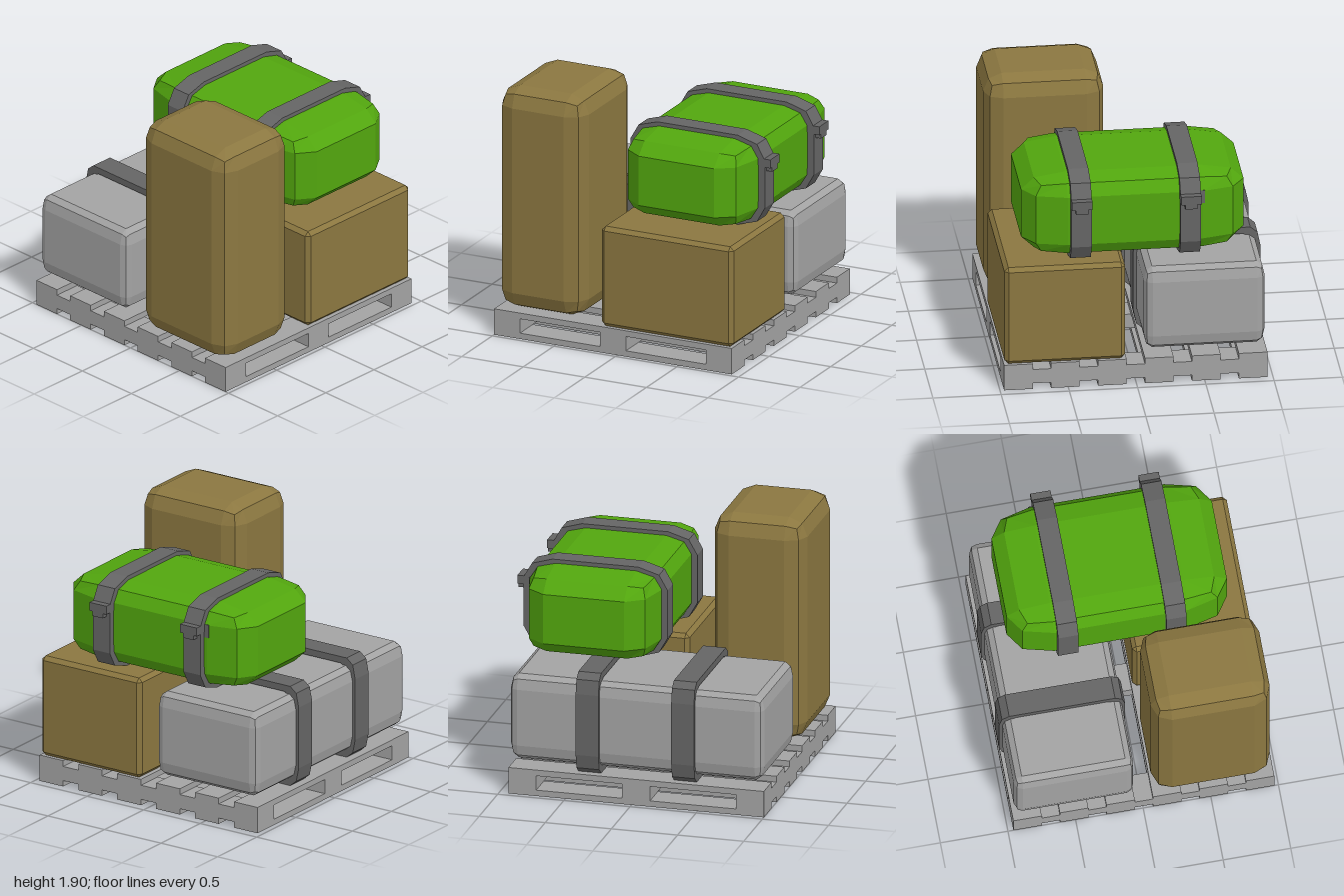
import * as THREE from 'three';
import { RoundedBoxGeometry } from 'three/addons/geometries/RoundedBoxGeometry.js';
import { ConvexGeometry } from 'three/addons/geometries/ConvexGeometry.js';

function material(name, color) {
  const m = new THREE.MeshStandardMaterial({ color, flatShading: true });
  m.name = name;
  return m;
}

// Faceted box between two corners; radii give the bevel size on each axis
function softBox(min, max, radii) {
  const size = max.map((v, i) => v - min[i]);
  const g = new RoundedBoxGeometry(size[0] / radii[0], size[1] / radii[1], size[2] / radii[2], 1, 1);
  g.scale(...radii);
  g.translate(...min.map((v, i) => (v + max[i]) / 2));
  return g;
}

// Box with one flat 45 degree chamfer on every edge
function chamferBox(min, max, c) {
  const points = [];
  for (let axis = 0; axis < 3; axis++) {
    for (let k = 0; k < 8; k++) {
      const p = [0, 1, 2].map((i) => {
        const inset = i === axis ? 0 : c;
        return (k >> i) & 1 ? max[i] - inset : min[i] + inset;
      });
      points.push(new THREE.Vector3(...p));
    }
  }
  return new ConvexGeometry(points);
}

function box(min, max) {
  const g = new THREE.BoxGeometry(...max.map((v, i) => v - min[i]));
  return g.translate(...min.map((v, i) => (v + max[i]) / 2));
}

// Rectangle outline whose corners are cut in two steps
function outline(x0, y0, x1, y1, rx, ry) {
  const a = 1 - Math.SQRT1_2;
  const corner = [[0, 1], [a, a], [1, 0]];
  const points = [];
  for (const [cx, cy, sx, sy] of [[x0, y0, 1, 1], [x1, y0, -1, 1], [x1, y1, -1, -1], [x0, y1, 1, -1]]) {
    const steps = sx * sy > 0 ? corner : [...corner].reverse();
    for (const [u, v] of steps) points.push(new THREE.Vector2(cx + sx * u * rx, cy + sy * v * ry));
  }
  return points;
}

// Closed band running around a box
function strapGeometry(x0, y0, x1, y1, rx, ry, thick, width) {
  const shape = new THREE.Shape(outline(x0, y0, x1, y1, rx, ry));
  shape.holes.push(new THREE.Path(outline(x0 + thick, y0 + thick, x1 - thick, y1 - thick, rx, ry)));
  return new THREE.ExtrudeGeometry(shape, { depth: width, bevelEnabled: false });
}

export function createModel() {
  const model = new THREE.Group();
  model.name = 'loadedPallet';
  const grey = material('light grey', 0xa3a3a3);
  const dark = material('dark grey', 0x656565);
  const tan = material('tan', 0x8b7740);
  const green = material('green', 0x52a60e);

  const add = (parent, name, geometry, mat) => {
    const mesh = new THREE.Mesh(geometry, mat);
    mesh.name = name;
    parent.add(mesh);
  };

  // Pallet: six top and bottom boards over three stringers
  const pallet = new THREE.Group();
  pallet.name = 'pallet';
  model.add(pallet);
  for (let i = 0; i < 6; i++) {
    const z = -0.96 + i * 0.344;
    add(pallet, 'bottomBoard', box([-1, 0, z], [0.93, 0.045, z + 0.21]), grey);
    add(pallet, 'topBoard', box([-1, 0.155, z], [0.93, 0.2, z + 0.21]), grey);
  }
  for (const x of [-1, -0.14, 0.72]) {
    add(pallet, 'stringer', box([x, 0.045, -0.96], [x + 0.21, 0.155, 0.97]), grey);
  }

  // Tan cargo
  add(model, 'tallCrate', softBox([-1, 0.2, 0.08], [-0.3, 1.905, 0.96], [0.14, 0.14, 0.135]), tan);
  add(model, 'squareCrate', chamferBox([-0.14, 0.2, 0.08], [0.93, 0.97, 0.965], 0.03), tan);

  // Long grey case with two bands
  const longCase = new THREE.Group();
  longCase.name = 'longCase';
  model.add(longCase);
  add(longCase, 'caseBody', softBox([-0.985, 0.26, -0.945], [0.93, 0.91, -0.06], [0.06, 0.11, 0.06]), grey);
  for (const x of [-0.475, 0.247]) {
    const g = strapGeometry(0.037, 0.2, 0.97, 0.97, 0.075, 0.15, 0.05, 0.172);
    g.rotateY(Math.PI / 2).translate(x, 0, 0);
    add(longCase, 'caseStrap', g, dark);
  }

  // Green bundle with two buckled bands
  const bundle = new THREE.Group();
  bundle.name = 'greenBundle';
  model.add(bundle);
  add(bundle, 'bundleBody', softBox([-0.09, 1, -0.81], [0.9, 1.63, 0.82], [0.19, 0.125, 0.32]), green);
  for (const z of [-0.47, 0.33]) {
    const g = strapGeometry(-0.135, 0.97, 0.955, 1.66, 0.22, 0.16, 0.05, 0.15);
    add(bundle, 'bundleStrap', g.translate(0, 0, z), dark);
    add(bundle, 'buckle', box([0.93, 1.445, z], [1, 1.51, z + 0.15]), dark);
    add(bundle, 'buckleTongue', box([0.945, 1.41, z + 0.03], [1, 1.45, z + 0.12]), dark);
  }
  add(bundle, 'strapTail', box([0.86, 1.41, -0.505], [0.903, 1.51, -0.46]), dark);

  return model;
}
